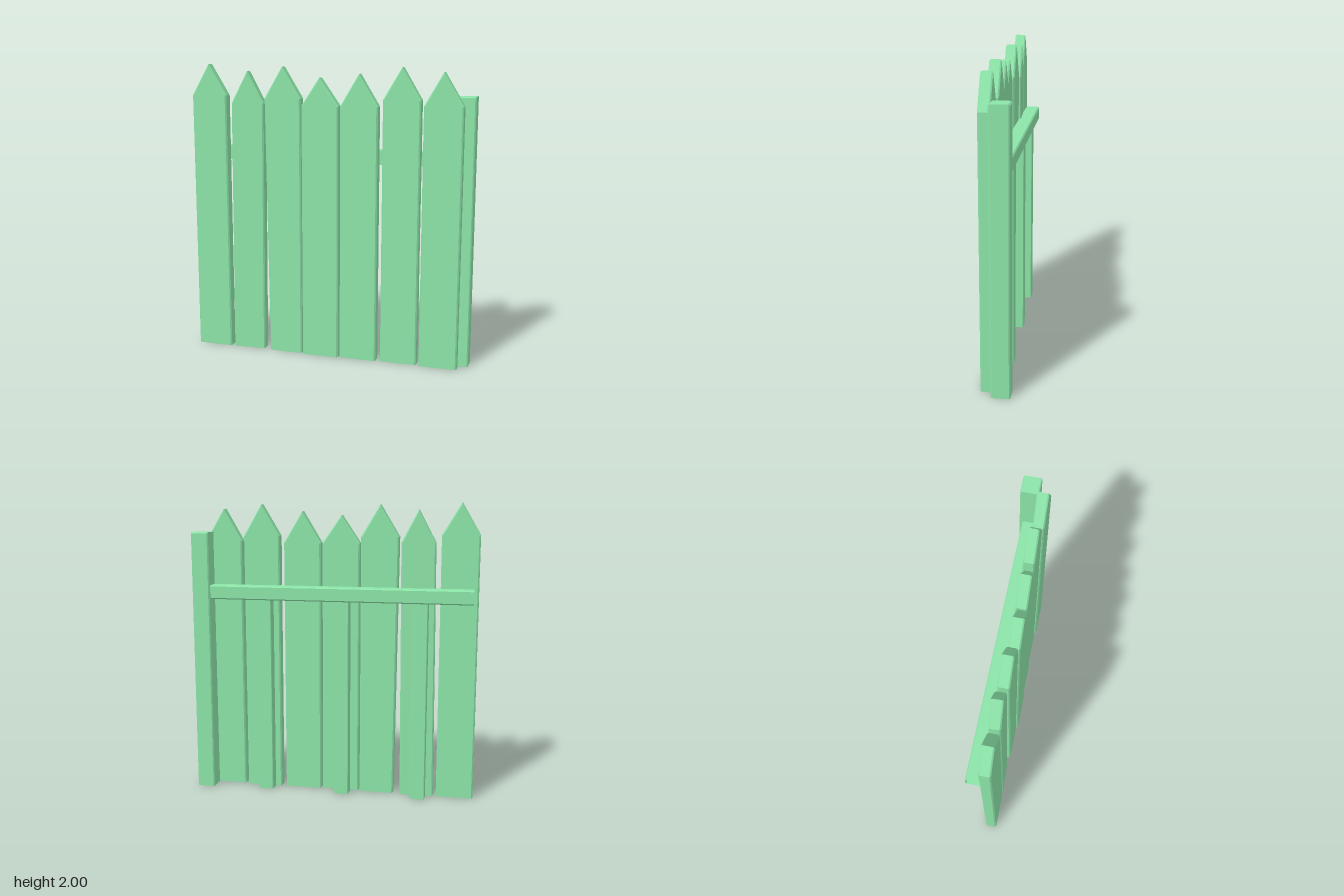
import * as THREE from 'three';

const material = new THREE.MeshStandardMaterial({
  color: 0x8ce4a8, flatShading: true, side: THREE.DoubleSide,
});

// Keep only the triangles for which the test of their three corners fails
function dropTriangles(geometry, axis, isEnd) {
  const src = geometry.getAttribute('position');
  const kept = [];
  for (let i = 0; i < src.count; i += 3) {
    const corners = [0, 1, 2].map((k) => src.getComponent(i + k, axis));
    if (corners.every(isEnd)) continue;
    for (let k = 0; k < 3; k++) kept.push(src.getX(i + k), src.getY(i + k), src.getZ(i + k));
  }
  const result = new THREE.BufferGeometry();
  result.setAttribute('position', new THREE.Float32BufferAttribute(kept, 3));
  result.computeVertexNormals();
  return result;
}

// Upright board: bevelled outline in x/y, open at the ground, back face at z = 0
function uprightBoard(points, thickness, bevel) {
  const shape = new THREE.Shape(points.map(([x, y]) => new THREE.Vector2(x, y)));
  const geometry = new THREE.ExtrudeGeometry(shape, {
    depth: thickness - 2 * bevel, bevelEnabled: true, bevelSegments: 1,
    bevelThickness: bevel, bevelSize: bevel, bevelOffset: -bevel,
  });
  geometry.translate(0, 0, bevel);
  const p = geometry.getAttribute('position');
  for (let i = 0; i < p.count; i++) p.setY(i, Math.max(0, p.getY(i)));
  return dropTriangles(geometry, 1, (y) => y < 1e-5);
}

function block(x0, x1, top, depth, bevel) {
  return uprightBoard([[x0, -0.03], [x1, -0.03], [x1, top], [x0, top]], depth, bevel);
}

export function createModel() {
  const fence = new THREE.Group();
  fence.name = 'picketFence';

  const add = (name, geometry, z = 0, parent = fence) => {
    const mesh = new THREE.Mesh(geometry, material);
    mesh.name = name;
    mesh.position.z = z;
    parent.add(mesh);
    return mesh;
  };

  // Pickets: foot left/right, shoulder left/right, shoulder height, tip x, tip height, back z, yaw
  const pickets = new THREE.Group();
  pickets.name = 'pickets';
  fence.add(pickets);
  [
    [-0.97, -0.72, -0.97, -0.72, 1.79, -0.847, 2.0, 0.015, 0],
    [-0.70, -0.47, -0.685, -0.457, 1.74, -0.57, 1.955, 0.007, 0.05],
    [-0.42, -0.185, -0.44, -0.185, 1.775, -0.313, 1.985, 0.015, 0],
    [-0.175, 0.08, -0.175, 0.08, 1.73, -0.05, 1.915, 0.025, 0],
    [0.09, 0.345, 0.09, 0.345, 1.73, 0.217, 1.94, 0.015, 0],
    [0.375, 0.625, 0.375, 0.625, 1.775, 0.5, 1.985, 0.005, 0],
    [0.645, 0.9, 0.645, 0.9, 1.74, 0.77, 1.955, 0.015, 0],
  ].forEach(([fl, fr, sl, sr, shoulder, tipX, tipY, z, yaw], i) => {
    const outline = [[fl, -0.03], [fr, -0.03], [sr, shoulder], [tipX, tipY], [sl, shoulder]]
      .map(([x, y]) => [x - tipX, y]);
    const picket = add(`picket${i + 1}`, uprightBoard(outline, 0.075, 0.009), z, pickets);
    picket.position.x = tipX;
    picket.rotation.y = yaw;
  });

  // End post
  add('endPost', block(0.845, 0.967, 1.8, 0.122, 0.008), -0.104);

  // Short stakes under the rail, behind every second picket
  [0.47, -0.068, -0.597].forEach((x, i) => {
    add(`stake${i + 1}`, block(x - 0.05, x + 0.05, 1.37, 0.085, 0.004), -0.07);
  });

  // Cross rail: chamfered section swept along x, open at its ends
  const z0 = -0.083, z1 = 0.014, y0 = 1.345, y1 = 1.44, c = 0.008;
  const section = new THREE.Shape([
    [-z1, y0], [-z0 - c, y0], [-z0, y0 + c], [-z0, y1 - c], [-z0 - c, y1], [-z1, y1],
  ].map(([a, b]) => new THREE.Vector2(a, b)));
  const rail = new THREE.ExtrudeGeometry(section, { depth: 1.79, bevelEnabled: false });
  rail.rotateY(Math.PI / 2);
  rail.translate(-0.942, 0, 0);
  const openRail = dropTriangles(
    dropTriangles(rail, 0, (x) => x < -0.94), 0, (x) => x > 0.84);
  add('crossRail', openRail);

  return fence;
}
